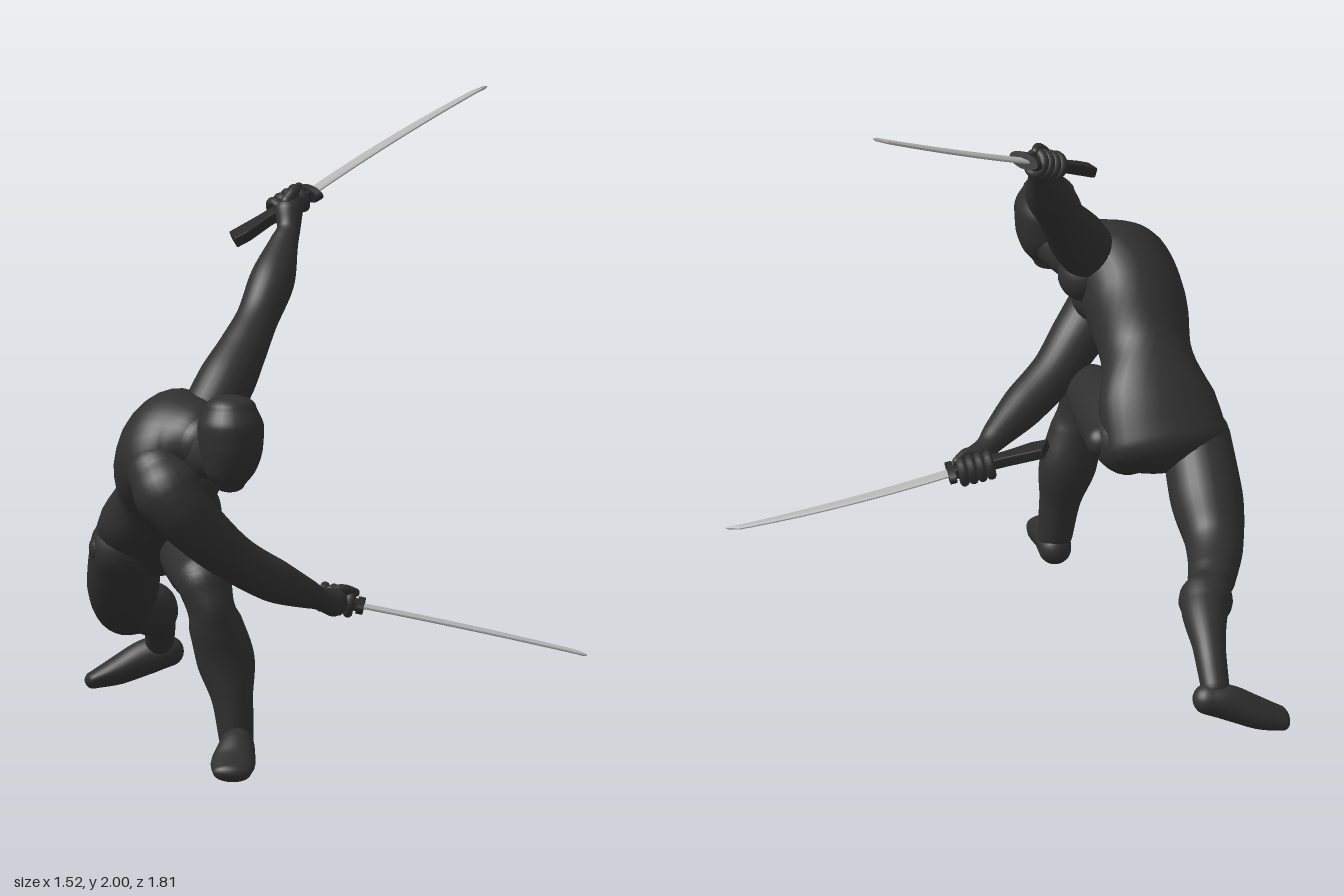
import * as THREE from 'three';

const V = (x, y, z) => new THREE.Vector3(x, y, z);

// Smooth body through stations [x, y, z, sideRadius, depthRadius], with rounded ends.
// Side axes may be one vector or one per station.
function loft(stations, sides = V(1, 0, 0), cap = 1) {
  const steps = stations.length * 6, around = 28, capRings = 6;
  const sideList = Array.isArray(sides) ? sides : stations.map(() => sides);
  const path = new THREE.CatmullRomCurve3(stations.map(s => V(s[0], s[1], s[2])));
  const size = new THREE.CatmullRomCurve3(stations.map(s => V(s[3], s[4] ?? s[3], 0)));
  const axis = new THREE.CatmullRomCurve3(sideList);
  const positions = [], index = [];
  let rings = 0;
  const ring = (t, shift, scale) => {
    const dir = path.getTangent(t), r = size.getPoint(t);
    const side = axis.getPoint(t);
    side.addScaledVector(dir, -side.dot(dir)).normalize();
    const up = dir.clone().cross(side);
    const centre = path.getPoint(t).addScaledVector(dir, shift * Math.min(r.x, r.y) * cap);
    for (let j = 0; j < around; j++) {
      const a = j / around * Math.PI * 2;
      const p = centre.clone().addScaledVector(side, Math.cos(a) * r.x * scale)
        .addScaledVector(up, Math.sin(a) * r.y * scale);
      positions.push(p.x, p.y, p.z);
    }
    rings++;
  };
  const round = k => [Math.sin(k / capRings * Math.PI / 2), Math.max(0.004, Math.cos(k / capRings * Math.PI / 2))];
  for (let k = capRings; k > 0; k--) { const [s, c] = round(k); ring(0, -s, c); }
  for (let i = 0; i <= steps; i++) ring(i / steps, 0, 1);
  for (let k = 1; k <= capRings; k++) { const [s, c] = round(k); ring(1, s, c); }
  for (let i = 0; i < rings - 1; i++) for (let j = 0; j < around; j++) {
    const a = i * around + j, b = i * around + (j + 1) % around;
    index.push(a, b, a + around, b, b + around, a + around);
  }
  const g = new THREE.BufferGeometry();
  g.setAttribute('position', new THREE.Float32BufferAttribute(positions, 3));
  g.setIndex(index);
  g.computeVertexNormals();
  return g;
}

export function createModel() {
  const body = new THREE.MeshStandardMaterial({ name: 'dark suit', color: 0x303030 });
  const grip = new THREE.MeshStandardMaterial({ name: 'dark grip', color: 0x2a2a2a });
  const steel = new THREE.MeshStandardMaterial({ name: 'blade steel', color: 0xb4b4b4 });
  const model = new THREE.Group();
  model.name = 'swordFighter';

  const add = (name, geometry, material = body, parent = model) => {
    const m = new THREE.Mesh(geometry, material);
    m.name = name;
    parent.add(m);
    return m;
  };
  const ball = (name, x, y, z, rx, ry = rx, rz = rx) => {
    const m = add(name, new THREE.SphereGeometry(1, 28, 18));
    m.position.set(x, y, z);
    m.scale.set(rx, ry, rz);
  };

  // Torso, twisting from level hips to a tilted shoulder line
  const hipLine = V(1, 0, 0), shoulderLine = V(0.5, 0.68, -0.54);
  const waistLine = V(0.85, 0.4, -0.33);
  add('torso', loft([
    [-0.54, 0.63, 0.01, 0.2, 0.12],
    [-0.54, 0.73, 0.11, 0.195, 0.135],
    [-0.55, 0.84, 0.25, 0.15, 0.14],
    [-0.56, 0.95, 0.38, 0.185, 0.16],
    [-0.55, 1.02, 0.49, 0.2, 0.16],
    [-0.5, 1.05, 0.57, 0.14, 0.115],
    [-0.47, 1.05, 0.62, 0.09, 0.085],
  ], [hipLine, V(1, 0.1, -0.1), waistLine, shoulderLine, shoulderLine, shoulderLine, shoulderLine], 0.7));
  ball('leftChestMuscle', -0.42, 1.04, 0.46, 0.085);
  ball('rightChestMuscle', -0.5, 0.92, 0.55, 0.09);
  ball('leftHipJoint', -0.345, 0.64, 0.08, 0.05);
  ball('rightHipJoint', -0.71, 0.62, 0.05, 0.05);

  // Neck and smooth masked head
  add('neck', loft([[-0.49, 1.03, 0.56, 0.09], [-0.45, 1.02, 0.66, 0.08], [-0.42, 1.03, 0.75, 0.075]]));
  add('head', loft([
    [-0.415, 0.95, 0.785, 0.05, 0.055],
    [-0.415, 0.99, 0.79, 0.08, 0.085],
    [-0.41, 1.06, 0.79, 0.1, 0.112],
    [-0.41, 1.13, 0.785, 0.105, 0.12],
    [-0.41, 1.19, 0.78, 0.082, 0.09],
  ], hipLine, 0.5));

  // Arms
  add('leftArm', loft([
    [-0.45, 1.09, 0.47, 0.09], [-0.38, 1.19, 0.4, 0.092], [-0.31, 1.29, 0.32, 0.078],
    [-0.25, 1.38, 0.24, 0.067], [-0.2, 1.47, 0.17, 0.072], [-0.145, 1.58, 0.07, 0.046],
    [-0.125, 1.62, 0.035, 0.037], [-0.12, 1.67, 0, 0.045],
  ]));
  add('rightArm', loft([
    [-0.61, 0.95, 0.59, 0.1], [-0.57, 0.87, 0.66, 0.1], [-0.47, 0.76, 0.64, 0.088],
    [-0.36, 0.665, 0.575, 0.075], [-0.24, 0.59, 0.52, 0.07], [-0.12, 0.53, 0.45, 0.046],
    [-0.08, 0.51, 0.42, 0.037], [-0.03, 0.49, 0.385, 0.045],
  ], V(0, 0, 1)));

  // Bent front leg
  add('leftThigh', loft([
    [-0.43, 0.635, 0.07, 0.11], [-0.44, 0.625, 0.2, 0.115],
    [-0.455, 0.615, 0.38, 0.105], [-0.465, 0.6, 0.53, 0.085],
  ]));
  add('leftShin', loft([
    [-0.46, 0.59, 0.54, 0.085], [-0.43, 0.47, 0.555, 0.085], [-0.395, 0.35, 0.55, 0.092, 0.08],
    [-0.375, 0.22, 0.57, 0.065], [-0.365, 0.1, 0.585, 0.055],
  ]));
  add('leftFoot', loft([
    [-0.36, 0.055, 0.575, 0.052, 0.053], [-0.37, 0.072, 0.635, 0.057, 0.07],
    [-0.395, 0.045, 0.73, 0.07, 0.044], [-0.41, 0.03, 0.81, 0.06, 0.029],
  ]));

  // Stretched back leg, foot turned out
  add('rightLeg', loft([
    [-0.645, 0.62, 0.04, 0.11], [-0.63, 0.49, -0.1, 0.115], [-0.61, 0.385, -0.24, 0.092],
    [-0.545, 0.338, -0.4, 0.075], [-0.475, 0.315, -0.54, 0.075],
    [-0.435, 0.25, -0.7, 0.052], [-0.42, 0.16, -0.8, 0.045],
  ]));
  add('rightFoot', loft([
    [-0.39, 0.13, -0.815, 0.052, 0.048], [-0.45, 0.115, -0.825, 0.056, 0.056],
    [-0.55, 0.068, -0.835, 0.066, 0.045], [-0.625, 0.04, -0.835, 0.058, 0.028],
  ], V(0, 0.25, 1)));

  // Curved blade outline, laid flat: x along the blade, z across it
  const bladeGeometry = length => {
    const s = new THREE.Shape();
    s.moveTo(0, -0.026);
    s.quadraticCurveTo(length * 0.5, -0.07, length - 0.04, -0.022);
    s.lineTo(length, 0.008);
    s.quadraticCurveTo(length * 0.5, -0.018, 0, 0.026);
    const g = new THREE.ExtrudeGeometry(s, {
      depth: 0.004, bevelThickness: 0.004, bevelSize: 0.008, bevelOffset: -0.008,
      bevelSegments: 1, curveSegments: 20,
    });
    return g.translate(0, 0, -0.002).rotateX(Math.PI / 2);
  };

  // Sword with the gripping fingers; local x runs from guard to tip
  const sword = (side, guard, tip, across) => {
    const g = new THREE.Group();
    g.name = side + 'Sword';
    const x = tip.clone().sub(guard), length = x.length();
    x.normalize();
    const z = across.clone().addScaledVector(x, -across.dot(x)).normalize();
    g.quaternion.setFromRotationMatrix(new THREE.Matrix4().makeBasis(x, z.clone().cross(x), z));
    g.position.copy(guard);
    model.add(g);
    add(side + 'Blade', bladeGeometry(length), steel, g);
    const plate = new THREE.CylinderGeometry(0.064, 0.064, 0.022, 28).rotateZ(Math.PI / 2).scale(1, 0.4, 1);
    add(side + 'Guard', plate, grip, g);
    const hilt = new THREE.Shape();
    hilt.moveTo(0, -0.02);
    hilt.lineTo(-0.18, -0.022);
    hilt.lineTo(-0.29, -0.03);
    hilt.lineTo(-0.315, 0.03);
    hilt.lineTo(-0.27, 0.036);
    hilt.lineTo(-0.18, 0.022);
    hilt.lineTo(0, 0.02);
    add(side + 'Hilt', new THREE.ExtrudeGeometry(hilt, {
      depth: 0.022, bevelThickness: 0.006, bevelSize: 0.005, bevelSegments: 2,
    }).translate(0, 0, -0.011).rotateX(Math.PI / 2), grip, g);
    for (let i = 0; i < 4; i++) {
      const finger = add(side + 'Finger' + (i + 1),
        new THREE.TorusGeometry(0.034, 0.015, 10, 20).rotateY(Math.PI / 2), body, g);
      finger.position.set(-0.035 - i * 0.029, 0, -0.012);
    }
    add(side + 'Thumb', loft([[-0.1, 0.03, 0.03, 0.02], [-0.06, 0.042, 0.02, 0.017],
      [-0.025, 0.036, -0.005, 0.014]], V(0, 0, 1)), body, g);
  };
  sword('left', V(-0.045, 1.715, -0.065), V(0.55, 1.995, -0.335), V(0.43, 0, 0.9));
  sword('right', V(0.06, 0.472, 0.355), V(0.76, 0.322, 0.49), V(-0.19, 0, 0.98));

  return model;
}
